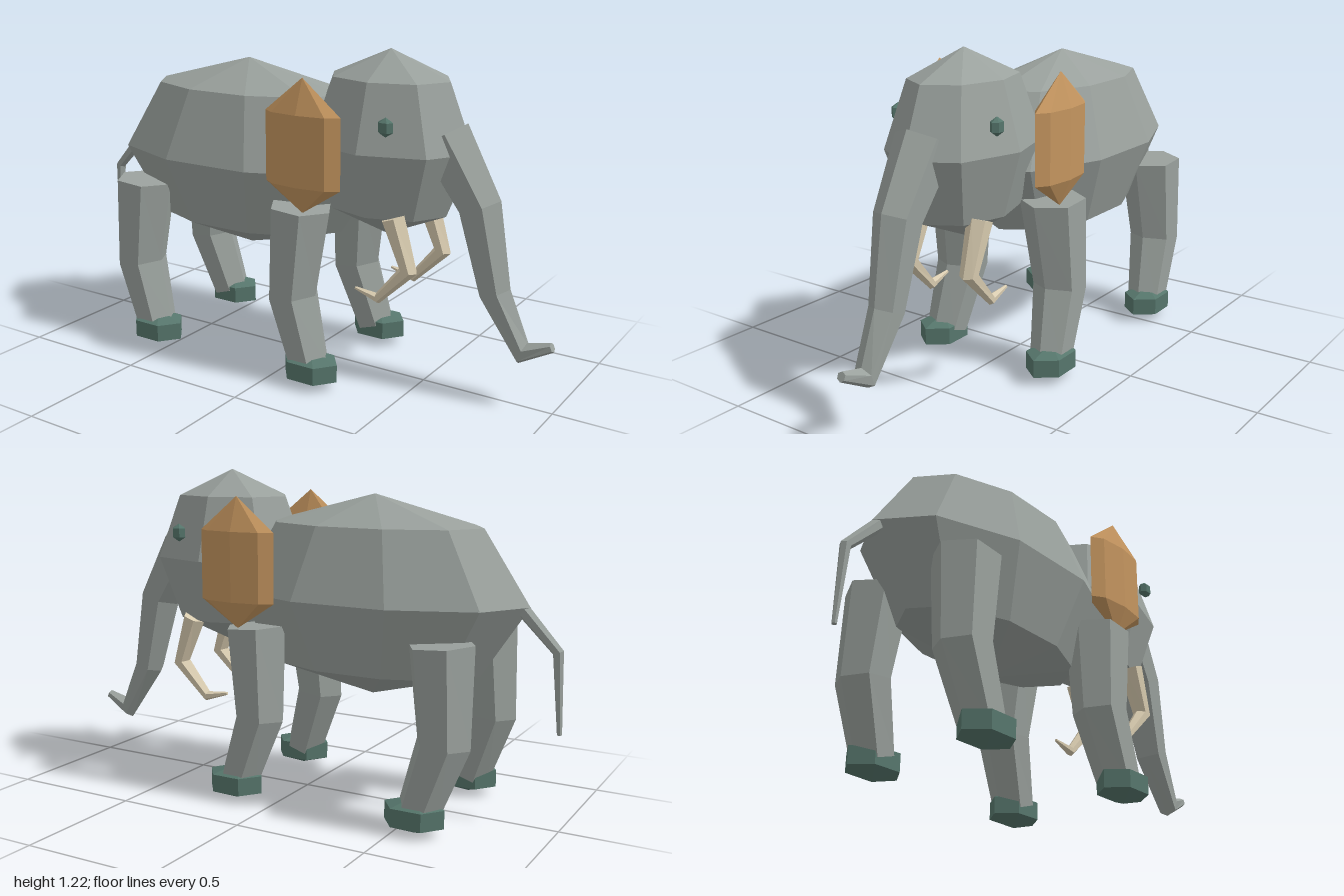
import * as THREE from 'three';

const mat = (name, color) => {
  const m = new THREE.MeshStandardMaterial({ color, flatShading: true });
  m.name = name;
  return m;
};

// Faceted mesh with hard edges
function facet(name, geometry, material) {
  const g = geometry.index ? geometry.toNonIndexed() : geometry;
  g.computeVertexNormals();
  const mesh = new THREE.Mesh(g, material);
  mesh.name = name;
  return mesh;
}

// Low-poly ellipsoid: centre, radii, segments around and rings
function blob(name, [x, y, z], [rx, ry, rz], around, rings, material) {
  const g = new THREE.SphereGeometry(1, around, rings).scale(rx, ry, rz).translate(x, y, z);
  return facet(name, g, material);
}

// Tapered six-sided limb through points [x, y, z, radius], capped at both ends
function limb(name, path, material, sides = 6) {
  const pos = [], index = [];
  const w = new THREE.Vector3(0, 0, 1);
  const pts = path.map(([x, y, z]) => new THREE.Vector3(x, y, z));
  const dir = (i) => pts[i + 1].clone().sub(pts[i]).normalize();
  pts.forEach((p, i) => {
    const t = new THREE.Vector3();
    if (i > 0) t.add(dir(i - 1));
    if (i < pts.length - 1) t.add(dir(i));
    const u = new THREE.Vector3(-t.y, t.x, 0).normalize();
    for (let j = 0; j < sides; j++) {
      const a = (j / sides) * Math.PI * 2, r = path[i][3];
      const v = p.clone().addScaledVector(u, r * Math.cos(a)).addScaledVector(w, r * Math.sin(a));
      pos.push(v.x, v.y, v.z);
    }
  });
  const last = pts.length - 1, c0 = pts.length * sides;
  pos.push(...pts[0].toArray(), ...pts[last].toArray());
  for (let j = 0; j < sides; j++) {
    const k = (j + 1) % sides;
    for (let i = 0; i < last; i++) {
      const a = i * sides + j, b = i * sides + k;
      index.push(a, b, a + sides, b, b + sides, a + sides);
    }
    index.push(c0, k, j, c0 + 1, last * sides + j, last * sides + k);
  }
  const g = new THREE.BufferGeometry();
  g.setAttribute('position', new THREE.Float32BufferAttribute(pos, 3));
  g.setIndex(index);
  return facet(name, g, material);
}

export function createModel() {
  const model = new THREE.Group();
  model.name = 'elephant';
  const grey = mat('grey skin', 0x9aa19d);
  const tan = mat('tan ear', 0xc4955f);
  const green = mat('dark green', 0x56766c);
  const ivory = mat('ivory', 0xd9ccb0);

  // Body and head
  model.add(blob('body', [-0.28, 0.775, 0], [0.59, 0.368, 0.31], 10, 4, grey));
  model.add(blob('head', [0.335, 0.882, 0], [0.33, 0.338, 0.237], 8, 4, grey));

  // Trunk and tail
  model.add(limb('trunk', [
    [0.55, 0.93, 0, 0.105], [0.695, 0.7, 0, 0.084], [0.765, 0.4, 0, 0.062],
    [0.88, 0.2, 0, 0.043], [0.985, 0.245, 0, 0.018],
  ], grey));
  model.add(limb('tail', [
    [-0.83, 0.78, 0, 0.026], [-0.972, 0.63, 0, 0.02], [-0.988, 0.345, 0, 0.009],
  ], grey));

  for (const s of [1, -1]) {
    const side = s > 0 ? 'Right' : 'Left';

    // Legs with feet, front pair and back pair
    for (const [end, x] of [['front', 0.165], ['back', -0.567]]) {
      model.add(limb(`${end}Leg${side}`, [
        [x - 0.07, 0.66, s * 0.21, 0.12],
        [x - 0.093, 0.325, s * 0.229, 0.098],
        [x - 0.01, 0.07, s * 0.247, 0.077],
      ], grey));
      model.add(blob(`${end}Foot${side}`, [x, 0.066, s * 0.254], [0.13, 0.066, 0.097], 6, 3, green));
    }

    // Flat ear with pointed top and bottom
    const profile = [[0, 0.655], [1, 0.755], [1, 1.01], [0, 1.135]].map((p) => new THREE.Vector2(...p));
    const ear = new THREE.LatheGeometry(profile, 8).scale(0.155, 1, 0.045).translate(0.14, 0, s * 0.269);
    model.add(facet(`ear${side}`, ear, tan));

    // Eye
    model.add(blob(`eye${side}`, [0.437, 0.986, s * 0.215], [0.033, 0.034, 0.024], 6, 3, green));

    // Tusk
    model.add(limb(`tusk${side}`, [
      [0.43, 0.65, s * 0.134, 0.046], [0.495, 0.468, s * 0.135, 0.034],
      [0.375, 0.342, s * 0.136, 0.02], [0.282, 0.363, s * 0.136, 0.006],
    ], ivory));
  }
  return model;
}
